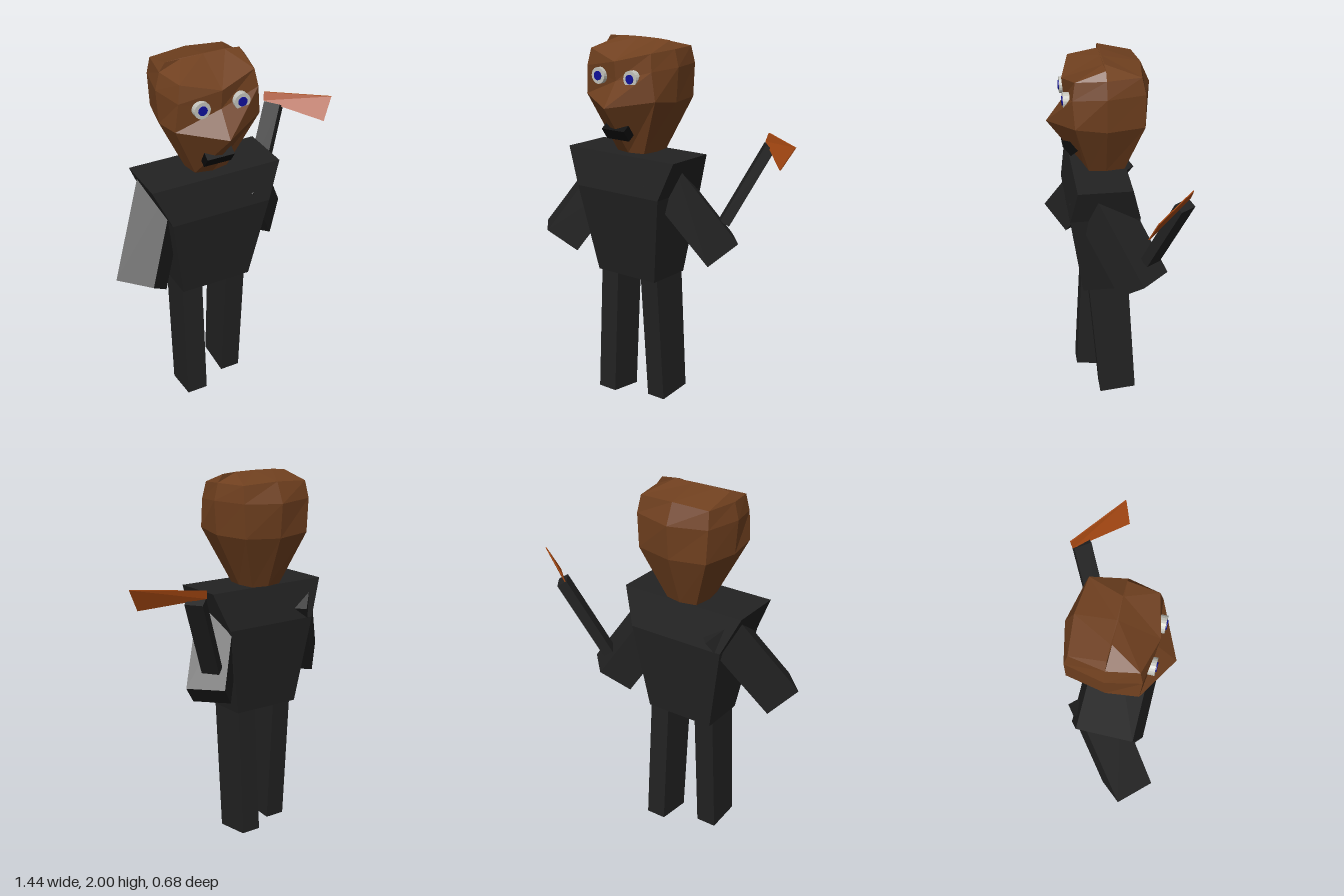
import * as THREE from 'three';

const mat = (color) => new THREE.MeshStandardMaterial({ color, flatShading: true, side: THREE.DoubleSide });
const suit = mat(0x222222), skin = mat(0x70401f), steel = mat(0xa64812);
const black = mat(0x0a0a0a), eyeGrey = mat(0xc4c4bc), pupilBlue = mat(0x10109a);

// Skin stacked rings of points (front, then towards +x, back, -x) and cap both ends
function loft(rings) {
  const n = rings[0].length, pos = [];
  const tri = (...pts) => pts.forEach((p) => pos.push(...p));
  for (let i = 0; i + 1 < rings.length; i++) {
    for (let j = 0; j < n; j++) {
      const k = (j + 1) % n, lo = rings[i], hi = rings[i + 1];
      tri(lo[j], lo[k], hi[k]);
      tri(lo[j], hi[k], hi[j]);
    }
  }
  const first = rings[0], last = rings[rings.length - 1];
  for (let j = 1; j < n - 1; j++) {
    tri(first[0], first[j + 1], first[j]);
    tri(last[0], last[j], last[j + 1]);
  }
  const g = new THREE.BufferGeometry();
  g.setAttribute('position', new THREE.Float32BufferAttribute(pos, 3));
  g.computeVertexNormals();
  return g;
}

// Rectangle cross-section at height y; front and back edges may sit at different heights
const rect = (x0, x1, zf, zb, yf, yb = yf) => [[x0, yf, zf], [x1, yf, zf], [x1, yb, zb], [x0, yb, zb]];

// Box running from a base centre along an axis, its width lying level
function beam(base, axis, width, depth, length) {
  const up = new THREE.Vector3(...axis).normalize();
  const side = new THREE.Vector3(up.z, 0, -up.x).normalize();
  const out = new THREE.Vector3().crossVectors(side, up);
  const g = new THREE.BoxGeometry(width, length, depth).translate(0, length / 2, 0);
  g.applyMatrix4(new THREE.Matrix4().makeBasis(side, up, out).setPosition(...base));
  return g;
}

export function createModel() {
  const model = new THREE.Group();
  const add = (name, geometry, material, parent = model) => {
    const mesh = new THREE.Mesh(geometry, material);
    mesh.name = name;
    parent.add(mesh);
    return mesh;
  };

  // Torso, flaring to the shoulders
  add('torso', loft([
    rect(-0.34, 0.05, 0.17, -0.085, 0.72),
    rect(-0.42, 0.13, 0.24, -0.13, 1.2),
    rect(-0.51, 0.205, 0.205, -0.08, 1.4),
  ]), suit);

  // Legs in mid-stride: right forward, left back
  add('rightLeg', loft([
    rect(-0.335, -0.22, 0.19, 0.0, 0.02, 0),
    rect(-0.335, -0.22, 0.148, -0.05, 0.76),
  ]), suit);
  add('leftLeg', loft([
    rect(-0.07, 0.042, 0.08, -0.123, 0, 0.02),
    rect(-0.07, 0.042, 0.14, -0.078, 0.76),
  ]), suit);

  // Arms: right reaches forward, left reaches back
  add('rightArm', beam([-0.588, 0.874, 0.2], [0.44, 0.8, -0.42], 0.203, 0.203, 0.56), suit);
  add('leftArm', beam([0.268, 0.874, -0.127], [-0.44, 0.8, 0.42], 0.203, 0.203, 0.56), suit);

  // Hatchet held in the left hand
  const hatchet = new THREE.Group();
  hatchet.name = 'hatchet';
  model.add(hatchet);
  add('handle', beam([0.27, 1.025, -0.16], [0.19, 0.42, -0.135], 0.095, 0.055, 0.475), suit, hatchet);
  const blade = [[0.41, 1.455, -0.325], [0.655, 1.38, -0.08], [0.72, 1.5, -0.115], [0.42, 1.5, -0.338]];
  add('blade', loft([blade.map(([x, y, z]) => [x + 0.004, y, z - 0.005]), blade]), steel, hatchet);

  // Head: half sections from front centre round to back centre, mirrored
  const cx = -0.145;
  const head = new THREE.Group();
  head.name = 'head';
  head.position.x = cx;
  model.add(head);
  const halves = [
    [[0, 1.4, 0.14], [0.09, 1.4, 0.12], [0.105, 1.4, 0.03], [0.09, 1.4, -0.07], [0, 1.4, -0.09]],
    [[0, 1.66, 0.33], [0.23, 1.7, 0.2], [0.242, 1.68, 0.04], [0.2, 1.68, -0.16], [0, 1.67, -0.192]],
    [[0, 1.79, 0.235], [0.215, 1.85, 0.21], [0.255, 1.86, 0.04], [0.21, 1.86, -0.16], [0, 1.85, -0.207]],
    [[0, 1.89, 0.245], [0.2, 1.94, 0.195], [0.232, 1.95, 0.04], [0.2, 1.95, -0.14], [0, 1.96, -0.16]],
    [[0, 2, 0.045], [0.12, 1.998, 0.045], [0.2, 1.993, 0.04], [0.12, 1.998, 0.038], [0, 2, 0.038]],
  ];
  const mirrored = halves.map((h) => [...h, ...h.slice(1, 4).reverse().map(([x, y, z]) => [-x, y, z])]);
  add('skull', loft(mirrored), skin, head);

  // Eyes
  for (const [s, label] of [[1, 'left'], [-1, 'right']]) {
    const disc = (r, d) => new THREE.CylinderGeometry(r, r, d, 20).rotateX(Math.PI / 2);
    add(label + 'Eye', disc(0.043, 0.07), eyeGrey, head).position.set(s * 0.107, 1.81, 0.215);
    add(label + 'Pupil', disc(0.024, 0.01), pupilBlue, head).position.set(s * 0.107, 1.81, 0.25);
  }

  // Mouth, lying along the sloping lower face
  const mouth = add('mouth', new THREE.BoxGeometry(0.15, 0.07, 0.06), black, head);
  mouth.position.set(-0.01, 1.525, 0.207);
  mouth.rotation.x = 0.63;

  return model;
}
